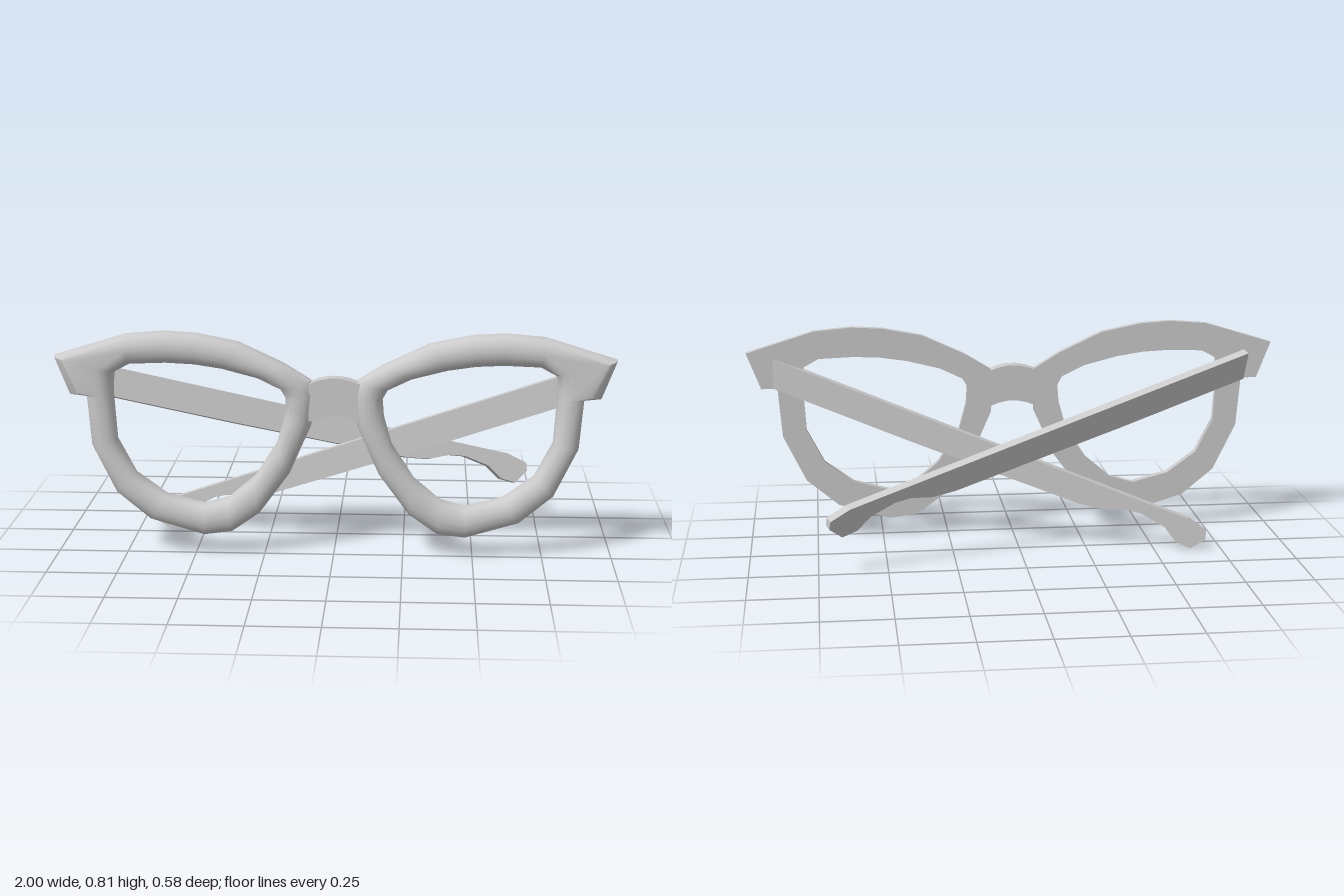
import * as THREE from 'three';
import { toCreasedNormals } from 'three/addons/utils/BufferGeometryUtils.js';

const material = new THREE.MeshStandardMaterial({ color: 0xcccccc });
const BACK = 0.222, FRONT = 0.288;

// Stations round one rim: outer x, y and the inner x, y opposite it
const RIM = [
  [0.998, 0.722, 0.785, 0.665], [0.945, 0.585, 0.79, 0.62], [0.885, 0.585, 0.79, 0.575],
  [0.87, 0.40, 0.78, 0.42], [0.785, 0.225, 0.715, 0.295], [0.665, 0.125, 0.605, 0.215],
  [0.47, 0.067, 0.47, 0.18], [0.37, 0.08, 0.38, 0.205], [0.27, 0.15, 0.285, 0.285],
  [0.16, 0.30, 0.205, 0.41], [0.083, 0.475, 0.177, 0.51], [0.073, 0.59, 0.172, 0.575],
  [0.083, 0.64, 0.19, 0.607], [0.18, 0.70, 0.275, 0.648], [0.34, 0.775, 0.40, 0.68],
  [0.49, 0.805, 0.50, 0.695], [0.605, 0.812, 0.60, 0.70], [0.745, 0.80, 0.73, 0.695],
];

// Cross-section across the rim: flat back, short walls, rounded front
function rimSection([ox, oy, ix, iy]) {
  const width = Math.hypot(ix - ox, iy - oy);
  const round = Math.min(width / 2, 0.058);
  const wall = BACK + 0.025;
  const half = [[0, BACK]];
  for (let k = 0; k <= 4; k++) {
    const a = (k / 4) * Math.PI / 2;
    half.push([round * (1 - Math.cos(a)) / width, wall + (FRONT - wall) * Math.sin(a)]);
  }
  const all = [...half, ...half.map(([t, z]) => [1 - t, z]).reverse()];
  return all.map(([t, z]) => [ox + (ix - ox) * t, oy + (iy - oy) * t, z]);
}

// Closed loft through all stations; side = 1 or -1 mirrors it
function rim(side) {
  const sections = RIM.map(rimSection);
  const n = sections.length, m = sections[0].length;
  const positions = [], index = [];
  for (const section of sections) {
    for (const [x, y, z] of section) positions.push(side * x, y, z);
  }
  for (let i = 0; i < n; i++) {
    for (let j = 0; j < m; j++) {
      const i2 = (i + 1) % n, j2 = (j + 1) % m;
      const a = i * m + j, b = i * m + j2, c = i2 * m + j2, d = i2 * m + j;
      if (side > 0) index.push(a, b, c, a, c, d);
      else index.push(a, c, b, a, d, c);
    }
  }
  const geometry = new THREE.BufferGeometry();
  geometry.setAttribute('position', new THREE.Float32BufferAttribute(positions, 3));
  geometry.setIndex(index);
  const mesh = new THREE.Mesh(toCreasedNormals(geometry, 0.75), material);
  mesh.name = side > 0 ? 'leftRim' : 'rightRim';
  return mesh;
}

// Arched bar between the rims
function bridge() {
  const shape = new THREE.Shape();
  shape.moveTo(-0.09, 0.495);
  shape.quadraticCurveTo(0, 0.54, 0.09, 0.495);
  shape.lineTo(0.09, 0.633);
  shape.quadraticCurveTo(0, 0.675, -0.09, 0.633);
  const geometry = new THREE.ExtrudeGeometry(shape, { depth: 0.05, bevelEnabled: false, curveSegments: 5 });
  geometry.translate(0, 0, BACK);
  const mesh = new THREE.Mesh(toCreasedNormals(geometry, 0.6), material);
  mesh.name = 'bridge';
  return mesh;
}

// Temple arm: distance from the hinge, depth below the top edge
const ARM = [
  [0, 0], [1.66, 0], [1.74, 0.02], [1.75, 0.05], [1.71, 0.103], [1.65, 0.1], [1.59, 0.062],
  [1.49, 0.045], [1.43, 0.052], [1.35, 0.084], [1.26, 0.096], [0.58, 0.105], [0.03, 0.105],
];

// Folded arm, laid out along a direction with its own downward lean
function arm(name, hinge, direction, down) {
  const shape = new THREE.Shape(ARM.map(([s, h]) => new THREE.Vector2(s, -h)));
  const geometry = new THREE.ExtrudeGeometry(shape, { depth: 0.035, bevelEnabled: false });
  geometry.translate(0, 0, -0.035);
  const x = new THREE.Vector3(...direction).normalize();
  const y = new THREE.Vector3(...down).negate();
  y.addScaledVector(x, -y.dot(x)).normalize();
  const z = new THREE.Vector3().crossVectors(x, y);
  geometry.applyMatrix4(new THREE.Matrix4().makeBasis(x, y, z).setPosition(...hinge));
  const mesh = new THREE.Mesh(geometry, material);
  mesh.name = name;
  return mesh;
}

export function createModel() {
  const model = new THREE.Group();
  model.name = 'eyeglasses';

  // Front frame, leaning very slightly
  const frame = new THREE.Group();
  frame.name = 'frontFrame';
  frame.add(rim(1), rim(-1), bridge());
  frame.rotation.set(-0.012, 0.006, 0);
  model.add(frame);

  // Arms folded across each other behind the frame
  model.add(arm('leftArm', [0.9, 0.7, 0.208], [-1.5, -0.575, -0.283], [0, -1, 0.01]));
  model.add(arm('rightArm', [-0.89, 0.7, 0.208], [1.6, -0.462, -0.468], [0, -0.102, 0.032]));
  return model;
}
